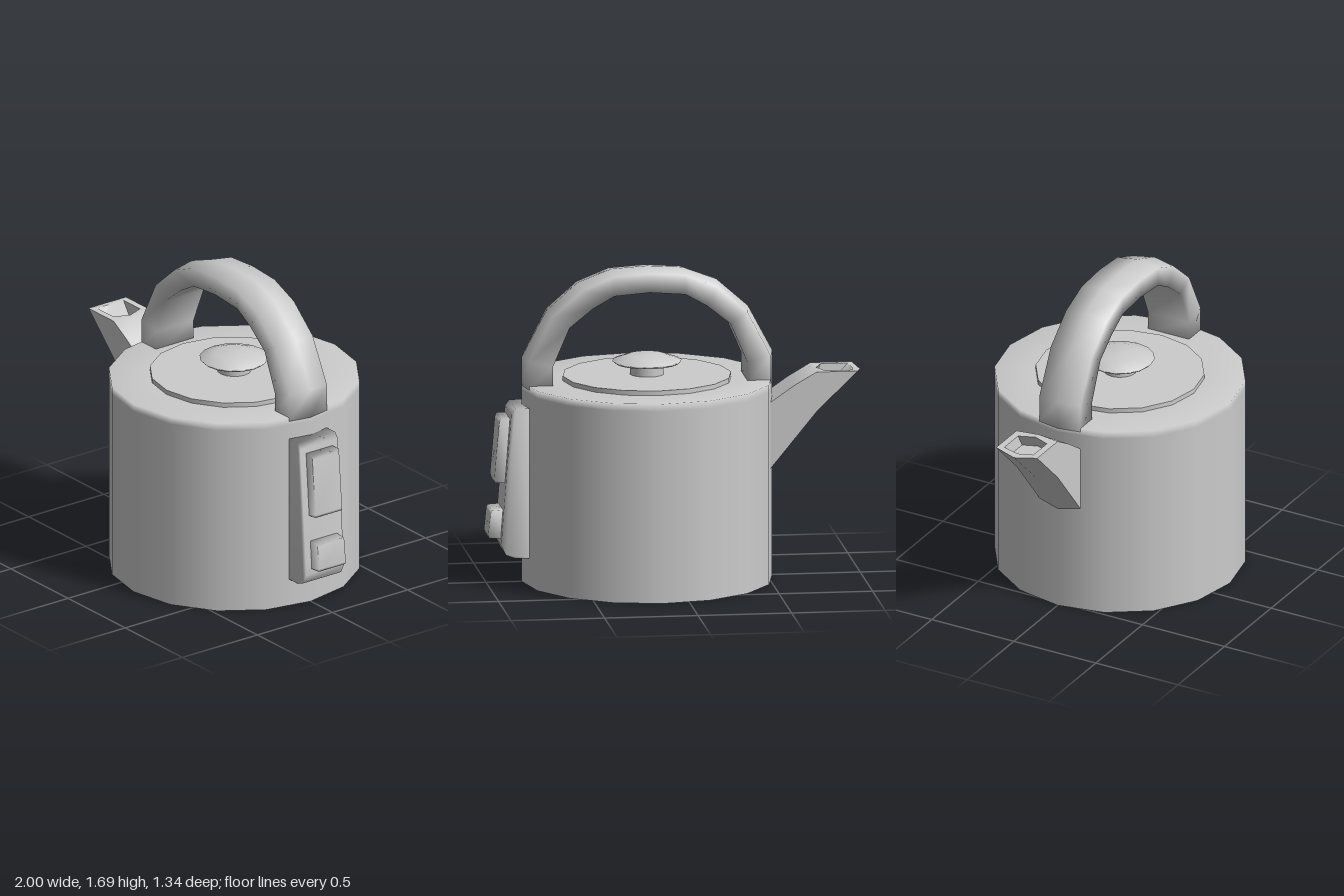
import * as THREE from 'three';
import { mergeVertices, toCreasedNormals } from 'three/addons/utils/BufferGeometryUtils.js';

const CX = 0.14; // axis of the pot
const HALF = 0.125; // half width of handle, spout and panel

const material = new THREE.MeshStandardMaterial({ color: 0xcccccc });

function mesh(name, geometry) {
  const m = new THREE.Mesh(geometry, material);
  m.name = name;
  return m;
}

// Closed skin over equal-length rings of [x, y, z], capped at both ends.
function loft(rings) {
  const n = rings[0].length;
  const pts = rings.flat();
  const tris = [];
  for (let r = 0; r < rings.length - 1; r++) {
    for (let i = 0; i < n; i++) {
      const a = r * n + i, b = r * n + (i + 1) % n;
      tris.push([a, b, b + n], [a, b + n, a + n]);
    }
  }
  const end = (rings.length - 1) * n;
  for (let i = 1; i < n - 1; i++) tris.push([0, i + 1, i], [end, end + i, end + i + 1]);
  // turn the faces outward if the enclosed volume is negative
  const v = pts.map((p) => new THREE.Vector3(...p));
  let volume = 0;
  for (const [a, b, c] of tris) volume += v[a].dot(v[b].clone().cross(v[c]));
  if (volume < 0) tris.forEach((t) => t.reverse());
  const g = new THREE.BufferGeometry();
  g.setAttribute('position', new THREE.Float32BufferAttribute(pts.flat(), 3));
  g.setIndex(tris.flat());
  g.computeVertexNormals();
  return g;
}

// Sixteen-sided turned part on the pot's axis.
function turned(name, profile) {
  const g = new THREE.LatheGeometry(profile.map(([r, y]) => new THREE.Vector2(r, y)), 16);
  return mesh(name, g.translate(CX, 0, 0));
}

// Side outline extruded symmetrically across z with soft normals.
function slab(name, outline, half) {
  const shape = new THREE.Shape(outline.map(([x, y]) => new THREE.Vector2(x, y)));
  let g = new THREE.ExtrudeGeometry(shape, { depth: half * 2, bevelEnabled: false });
  g.translate(0, 0, -half);
  g.deleteAttribute('normal');
  g.deleteAttribute('uv');
  g = mergeVertices(g, 1e-4);
  g.computeVertexNormals();
  return mesh(name, g);
}

export function createModel() {
  const model = new THREE.Group();
  model.name = 'kettle';

  // Pot: softly shaded shoulder, flat base
  model.add(turned('body', [[0.67, 0], [0.67, 1.04], [0.67, 1.08], [0.45, 1.08], [0, 1.08]]));
  const base = new THREE.CircleGeometry(0.67, 16).rotateX(Math.PI / 2).translate(CX, 0, 0);
  model.add(mesh('base', base));

  // Lid and knob
  const lid = new THREE.CylinderGeometry(0.45, 0.45, 0.03, 16).translate(CX, 1.09, 0);
  model.add(mesh('lid', lid));
  const stem = new THREE.CylinderGeometry(0.09, 0.09, 0.09, 16).translate(CX, 1.14, 0);
  model.add(mesh('knobStem', stem));
  model.add(turned('knobCap', [[0, 1.165], [0.17, 1.165], [0.185, 1.18], [0.1, 1.21], [0, 1.215]]));

  // Handle: outer and inner points of each section, from one foot to the crown
  const arch = [
    [-0.67, 1.06, -0.52, 1.06], [-0.67, 1.215, -0.52, 1.18], [-0.54, 1.46, -0.43, 1.39],
    [-0.37, 1.61, -0.305, 1.49], [-0.19, 1.678, -0.19, 1.555], [0, 1.69, 0, 1.57],
  ];
  const mirrored = arch.slice(0, -1).reverse().map(([ox, oy, ix, iy]) => [-ox, oy, -ix, iy]);
  const handleRings = [...arch, ...mirrored].map(([ox, oy, ix, iy]) => {
    const o = [ox + CX, oy], i = [ix + CX, iy];
    const s = [o[0] + (i[0] - o[0]) * 0.16, o[1] + (i[1] - o[1]) * 0.16];
    return [[...o, 0], [...s, HALF], [...i, HALF], [...i, -HALF], [...s, -HALF]];
  });
  model.add(mesh('handle', loft(handleRings)));

  // Spout: six-sided sections as keel, lower side, upper side, crest; the last two form the mouth
  const section = (keel, low, high, crest, w) => [
    [...keel, 0], [...low, w], [...high, w], [...crest, 0], [...high, -w], [...low, -w],
  ];
  const spout = loft([
    section([-0.46, 0.5], [-0.44, 0.52], [-0.42, 0.9], [-0.42, 0.9], HALF),
    section([-0.53, 0.58], [-0.505, 0.6], [-0.5, 0.955], [-0.51, 0.96], HALF),
    section([-0.77, 0.88], [-0.75, 0.9], [-0.63, 1.045], [-0.63, 1.045], HALF),
    section([-1, 1.1], [-0.97, 1.115], [-0.75, 1.115], [-0.73, 1.115], HALF),
    section([-0.96, 1.106], [-0.945, 1.115], [-0.8, 1.115], [-0.765, 1.115], 0.088),
    section([-0.9, 1.05], [-0.885, 1.05], [-0.77, 1.05], [-0.74, 1.05], 0.08),
  ]);
  model.add(mesh('spout', toCreasedNormals(spout, 0.9)));

  // Control panel with two raised pads
  model.add(slab('panel', [
    [0.76, 0.15], [0.86, 0.15], [0.91, 0.17], [0.935, 0.22], [0.93, 0.3],
    [0.882, 0.93], [0.86, 0.96], [0.76, 0.96],
  ], HALF));
  model.add(slab('upperPad', [
    [0.88, 0.55], [0.965, 0.555], [0.968, 0.57], [0.942, 0.88], [0.935, 0.9], [0.86, 0.9],
  ], 0.088));
  model.add(slab('lowerPad', [
    [0.9, 0.25], [0.995, 0.255], [1, 0.27], [0.988, 0.39], [0.98, 0.405], [0.89, 0.41],
  ], 0.088));

  return model;
}
